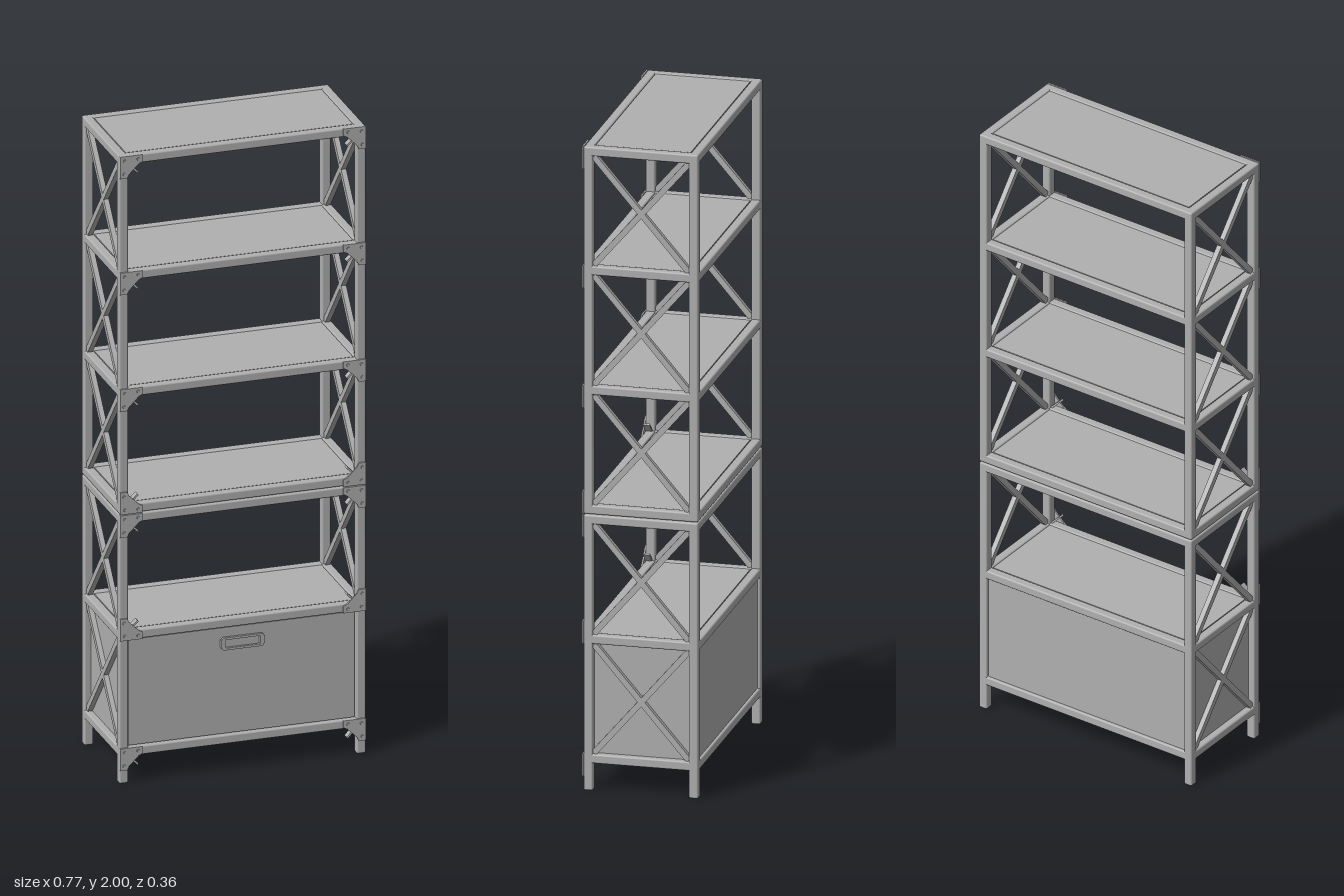
import * as THREE from 'three';
import { RoundedBoxGeometry } from 'three/addons/geometries/RoundedBoxGeometry.js';

export function createModel() {
  const model = new THREE.Group();
  const metal = new THREE.MeshStandardMaterial({ color: 0xb0b0b0 });
  metal.name = 'grey';

  const T = 0.028;                       // tube thickness
  const X = 0.385, ZF = 0.171, ZB = -0.179;
  const ZC = (ZF + ZB) / 2, D = ZF - ZB;

  function add(name, geometry, x, y, z, parent = model) {
    const mesh = new THREE.Mesh(geometry, metal);
    mesh.name = name;
    mesh.position.set(x, y, z);
    parent.add(mesh);
    return mesh;
  }
  const tube = (w, h, d) => new RoundedBoxGeometry(w, h, d, 2, 0.005);
  const box = (w, h, d) => new THREE.BoxGeometry(w, h, d);

  // Corner posts: the upper unit is stacked on the lower unit
  for (const [y0, y1] of [[0, 0.856], [0.859, 2]])
    for (const sx of [-1, 1])
      for (const z of [ZF - T / 2, ZB + T / 2])
        add('post', tube(T, y1 - y0, T), sx * (X - T / 2), (y0 + y1) / 2, z);

  // Shelf frames with inset panels, given by the height of their top face
  const levels = [0.113, 0.484, 0.856, 0.887, 1.258, 1.63, 2];
  for (const top of levels) {
    const shelf = new THREE.Group();
    shelf.name = 'shelf';
    model.add(shelf);
    const y = top - T / 2;
    for (const z of [ZF - T / 2, ZB + T / 2])
      add('longRail', tube(2 * X - 0.004, T, T), 0, y, z, shelf);
    for (const sx of [-1, 1])
      add('sideRail', tube(T, T, D - 0.004), sx * (X - T / 2), y, ZC, shelf);
    add('shelfPanel', box(2 * X - 2 * T - 0.004, 0.014, D - 2 * T - 0.004), 0, top - 0.009, ZC, shelf);
  }

  // Crossed braces on both sides of every bay
  const bays = [[0.113, 0.456], [0.484, 0.828], [0.887, 1.23], [1.258, 1.602], [1.63, 1.972]];
  const dz = D - 2 * T;
  for (const [y0, y1] of bays) {
    const h = y1 - y0, angle = Math.atan2(dz, h);
    for (const sx of [-1, 1])
      for (const s of [-1, 1]) {
        const brace = add('crossBrace', box(0.016, Math.hypot(dz, h) - 0.006, 0.018),
          sx * (X - T / 2), (y0 + y1) / 2, ZC);
        brace.rotation.x = s * angle;
      }
  }

  // Front corner plates with rivets; dir is the way the plate reaches along the post
  const plateShape = new THREE.Shape([
    [0, 0], [0.07, 0], [0.07, 0.022], [0.058, 0.028], [0.028, 0.058], [0.022, 0.07], [0, 0.07],
  ].map(([x, y]) => new THREE.Vector2(x, y)));
  const flipped = (sx, sy) => new THREE.Shape(
    plateShape.getPoints().map(p => new THREE.Vector2(p.x * sx, p.y * sy)));
  const rivet = new THREE.CylinderGeometry(0.004, 0.005, 0.003, 10).rotateX(Math.PI / 2);
  const corners = [[2, -1], [1.63, -1], [1.258, -1], [0.859, 1], [0.856, -1], [0.456, 1], [0.113, -1]];
  for (const [y, dir] of corners)
    for (const sx of [-1, 1]) {
      const plate = new THREE.Group();
      plate.name = 'cornerPlate';
      plate.position.set(sx * (X - 0.001), y, ZF);
      model.add(plate);
      add('plate', new THREE.ExtrudeGeometry(flipped(-sx, dir), { depth: 0.005, bevelEnabled: false }), 0, 0, 0, plate);
      for (const [rx, ry] of [[0.014, 0.014], [0.056, 0.012], [0.012, 0.056]])
        add('rivet', rivet, -sx * rx, dir * ry, 0.006, plate);
      // Small diagonal strut behind the plate
      const strut = add('strut', box(0.046, 0.006, 0.02), -sx * 0.041, dir * 0.041, -0.01, plate);
      strut.rotation.z = sx * dir * -Math.PI / 4;
    }

  // Closed cabinet in the lowest bay
  const cy = (0.113 + 0.456) / 2, ch = 0.343;
  add('backPanel', box(2 * X - 2 * T, ch, 0.01), 0, cy, ZB + 0.014);
  for (const sx of [-1, 1])
    add('sidePanel', box(0.008, ch, D - 2 * T), sx * (X - T + 0.003), cy, ZC);
  add('drawerFront', box(2 * X - 2 * T - 0.008, ch - 0.006, 0.014), 0, cy, ZF - 0.016);

  // Drawer handle: an oblong loop with a clip at each end
  const oblong = (S, w, h, r) => {
    const s = new S();
    s.absarc(w - r, h - r, r, 0, Math.PI / 2);
    s.absarc(r - w, h - r, r, Math.PI / 2, Math.PI);
    s.absarc(r - w, r - h, r, Math.PI, Math.PI * 1.5);
    s.absarc(w - r, r - h, r, Math.PI * 1.5, Math.PI * 2);
    s.closePath();
    return s;
  };
  const loop = oblong(THREE.Shape, 0.066, 0.02, 0.008);
  loop.holes.push(oblong(THREE.Path, 0.058, 0.013, 0.005));
  add('handle', new THREE.ExtrudeGeometry(loop, { depth: 0.008, bevelEnabled: false, curveSegments: 5 }),
    0, 0.405, ZF - 0.004);
  for (const sx of [-1, 1])
    add('handleClip', box(0.014, 0.024, 0.014), sx * 0.061, 0.405, ZF - 0.003);

  return model;
}
